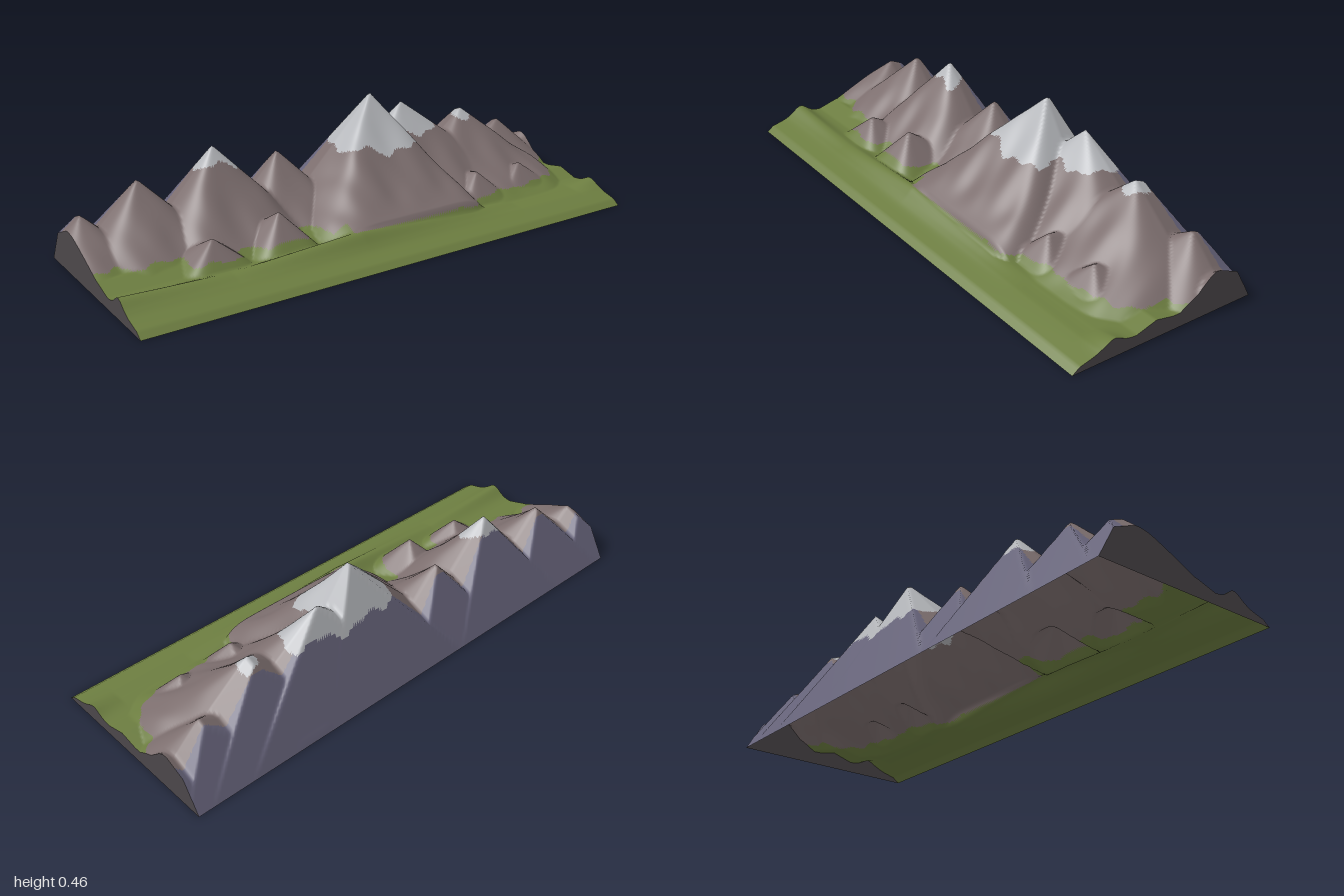
import * as THREE from 'three';

const NX = 240, NZ = 110, X = 1, Z = 0.367;

// Peaks: x, z, height, left-hand slope, right-hand slope, front slope, squareness of the front
const PEAKS = [
  [-1.08, -0.22, 0.20, 0.8, 0.8, 0.85, 3], [-0.95, -0.21, 0.20, 0.9, 0.9, 0.68, 3],
  [-0.74, -0.21, 0.285, 0.95, 1.0, 1.05, 4], [-0.46, -0.19, 0.362, 1.1, 1.05, 1.35, 4],
  [-0.19, -0.21, 0.288, 1.1, 1.05, 1.1, 4], [0.19, -0.16, 0.458, 1.02, 1.4, 1.37, 8],
  [0.36, -0.20, 0.388, 0.9, 0.75, 1.3, 4], [0.64, -0.18, 0.322, 0.8, 0.8, 1.05, 4],
  [0.87, -0.22, 0.227, 0.6, 0.95, 1.05, 3], [1.06, -0.22, 0.19, 0.7, 0.7, 1.15, 3],
];
// Small hills in front: x, z, height, side slope, back slope
const HILLS = [
  [-0.61, 0.085, 0.14, 0.8, 0.6], [-0.35, 0.075, 0.175, 1.05, 0.7],
  [0.52, 0.08, 0.15, 0.9, 0.3], [0.74, 0.07, 0.142, 0.75, 0.5],
];

// Meadow cross-section (z, y) and height of its front bank along x
const MEADOW = [[-0.367, 0], [-0.15, 0.05], [-0.03, 0.052], [0.04, 0.066], [0.12, 0.042], [0.2, 0.045], [0.26, 0.04], [0.34, 0.02], [0.367, 0]];
const BANK = [[-1, 0.078], [-0.85, 0.07], [-0.6, 0.058], [-0.35, 0.075], [-0.1, 0.09], [0.35, 0.065], [0.6, 0.042], [0.9, 0.042], [1, 0.068]];

function lerpTable(table, v) {
  for (let i = 1; i < table.length; i++) {
    const [a, ya] = table[i - 1], [b, yb] = table[i];
    if (v <= b) return ya + (yb - ya) * Math.max(0, (v - a) / (b - a));
  }
  return table[table.length - 1][1];
}

// Pyramid with rounded corners: larger p is squarer
const pyramid = (a, b, p) => Math.pow(a ** p + b ** p, 1 / p);

function peakHeight(x, z, [px, pz, h, low, high, front, square]) {
  const dx = x < px ? low * (px - x) : high * (x - px), dz = z - pz;
  if (dz < 0) { // short crest, then a flat steep back wall
    const wall = Math.max(1.3 + 2.25 * h, h / (pz + Z));
    return Math.min(h - dx + 0.42 * dz, wall * (z + Z));
  }
  const drop = front * (dz - 0.75 * dz * dz);
  return h - pyramid(dx, drop, square);
}

function height(x, z) {
  if (Math.abs(z) >= Z - 1e-6) return 0;
  const bump = Math.exp(-(((z - 0.21) / 0.04) ** 2)) * (lerpTable(BANK, x) - 0.045);
  const meadow = z < -0.15 ? 0 : lerpTable(MEADOW, z) + bump;
  let rock = 0;
  for (const p of PEAKS) rock = Math.max(rock, peakHeight(x, z, p));
  // shallow gullies on the front slopes
  const ramp = THREE.MathUtils.smoothstep(z, -0.16, -0.02) * (1 - THREE.MathUtils.smoothstep(z, 0.1, 0.2));
  rock += ramp * 0.005 * (Math.sin(x * 30 + z * 9) + 0.4 * Math.sin(x * 57 - z * 14));
  // the slopes flatten into the bank
  if (z > 0.2) rock -= 1.2 * (z - 0.2);
  for (const [hx, hz, h, side, back] of HILLS) {
    const dz = z > hz ? 1.1 * (z - hz) : back * (hz - z);
    rock = Math.max(rock, h - pyramid(side * Math.abs(x - hx), dz, 4));
  }
  return Math.max(meadow, rock);
}

// Which ground covers a spot
function cover(x, y, z) {
  const wobble = Math.sin(x * 31 + z * 17) + 0.6 * Math.sin(x * 67 - z * 41);
  const main = Math.exp(-(((x - 0.25) / 0.16) ** 2));
  if (y > 0.296 - 0.03 * main + 0.012 * wobble) return 'snow';
  const bank = z > 0.21 || (z > 0.15 && x < -0.12);
  if (bank || (z > -0.12 && y < 0.074 + 0.005 * wobble)) return 'grass';
  return z < -0.29 + 0.22 * y ? 'backRock' : 'rock';
}

function material(color) {
  return new THREE.MeshStandardMaterial({ color, side: THREE.DoubleSide });
}

export function createModel() {
  const group = new THREE.Group();
  group.name = 'mountainRange';

  // Terrain grid with shared smooth normals
  const pos = [], all = [];
  const parts = { grass: [], rock: [], backRock: [], snow: [] };
  for (let i = 0; i <= NX; i++) {
    for (let j = 0; j <= NZ; j++) {
      const x = -X + (2 * X * i) / NX, z = -Z + (2 * Z * j) / NZ;
      pos.push(x, height(x, z), z);
    }
  }
  const addTriangle = (...tri) => {
    const c = [0, 1, 2].map(k => tri.reduce((s, v) => s + pos[v * 3 + k], 0) / 3);
    parts[cover(...c)].push(...tri);
    all.push(...tri);
  };
  for (let i = 0; i < NX; i++) {
    for (let j = 0; j < NZ; j++) {
      const a = i * (NZ + 1) + j, b = a + NZ + 1;
      addTriangle(a, a + 1, b);
      addTriangle(a + 1, b + 1, b);
    }
  }
  const terrain = new THREE.BufferGeometry();
  terrain.setAttribute('position', new THREE.Float32BufferAttribute(pos, 3));
  terrain.setIndex(all);
  terrain.computeVertexNormals();

  // One mesh for each ground cover
  const colors = { grass: 0x6c7d40, rock: 0x7c6e6e, backRock: 0x66637a, snow: 0xb4b6ba };
  for (const name in parts) {
    const geo = new THREE.BufferGeometry();
    geo.setAttribute('position', terrain.attributes.position);
    geo.setAttribute('normal', terrain.attributes.normal);
    geo.setIndex(parts[name]);
    const mesh = new THREE.Mesh(geo, material(colors[name]));
    mesh.name = name;
    group.add(mesh);
  }

  // Flat cut walls at both ends; the underside stays open
  for (const side of [-1, 1]) {
    const outline = new THREE.Shape();
    outline.moveTo(side * Z, 0);
    for (let j = 1; j <= NZ; j++) {
      const z = -Z + (2 * Z * j) / NZ;
      outline.lineTo(-side * z, height(side * X, z));
    }
    const wall = new THREE.Mesh(new THREE.ShapeGeometry(outline), material(0x4c474a));
    wall.rotation.y = (side * Math.PI) / 2;
    wall.position.x = side * X;
    wall.name = side > 0 ? 'leftEndWall' : 'rightEndWall';
    group.add(wall);
  }
  return group;
}
